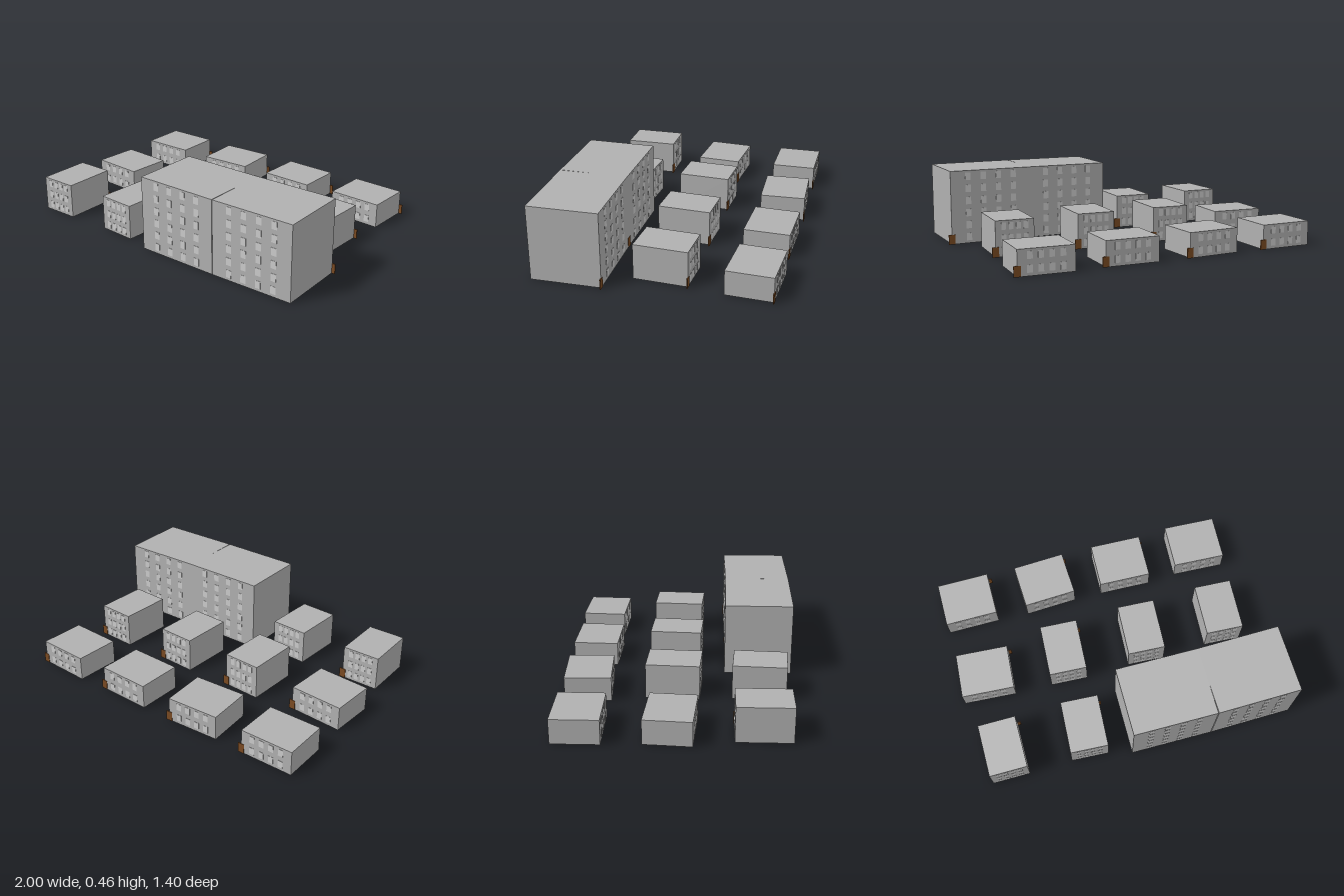
import * as THREE from 'three';

const wall = new THREE.MeshStandardMaterial({ color: 0xb0b0b0 });
wall.name = 'concrete grey';
const glass = new THREE.MeshStandardMaterial({ color: 0xcccccc });
glass.name = 'window pale grey';
const wood = new THREE.MeshStandardMaterial({ color: 0x7a4a22 });
wood.name = 'door brown';

function addBox(parent, name, material, size, position) {
  const mesh = new THREE.Mesh(new THREE.BoxGeometry(...size), material);
  mesh.name = name;
  mesh.position.set(...position);
  parent.add(mesh);
}

// One block: plain walls, window grids front and back, door on the back +x corner
function building(name, { w, h, d, floors, paneW, paneH }) {
  const g = new THREE.Group();
  g.name = name;
  addBox(g, 'walls', wall, [w, h, d], [0, h / 2, 0]);
  for (const side of [1, -1]) {
    for (let row = 0; row < floors; row++) {
      for (let col = 0; col < 4; col++) {
        const x = (col - 1.5) * w * 0.19;
        const y = (row + 0.53) * h / floors;
        addBox(g, side > 0 ? 'frontWindow' : 'backWindow', glass,
          [paneW, paneH, 0.003], [x, y, side * d / 2]);
      }
    }
  }
  addBox(g, 'door', wood, [0.04, 0.06, 0.006], [w / 2, 0.03, -d / 2]);
  return g;
}

const low = { w: 0.33, h: 0.15, d: 0.28, floors: 2, paneW: 0.032, paneH: 0.043 };
const mid = { w: 0.235, h: 0.215, d: 0.325, floors: 3, paneW: 0.028, paneH: 0.043 };
const tall = { w: 0.518, h: 0.455, d: 0.42, floors: 6, paneW: 0.034, paneH: 0.046 };

// Site plan: type, x, z, turn
const plan = [
  ['lowHouse', low, -0.83, -0.55, 0],
  ['lowHouse', low, -0.31, -0.55, 0.045],
  ['lowHouse', low, 0.21, -0.55, -0.035],
  ['lowHouse', low, 0.725, -0.55, -0.05],
  ['lowHouse', low, -0.828, -0.035, -0.068],
  ['midHouse', mid, -0.31, -0.035, -0.055],
  ['midHouse', mid, 0.205, -0.035, -0.055],
  ['midHouse', mid, 0.725, -0.035, -0.055],
  ['midHouse', mid, -0.827, 0.484, 0],
  ['midHouse', mid, -0.31, 0.483, -0.06],
  ['towerBlock', tall, 0.204, 0.484, -0.01],
  ['towerBlock', tall, 0.722, 0.484, 0.01],
];

export function createModel() {
  const model = new THREE.Group();
  model.name = 'housingEstate';
  for (const [name, type, x, z, turn] of plan) {
    const b = building(name, type);
    b.position.set(x, 0, z);
    b.rotation.y = turn;
    model.add(b);
  }
  return model;
}
